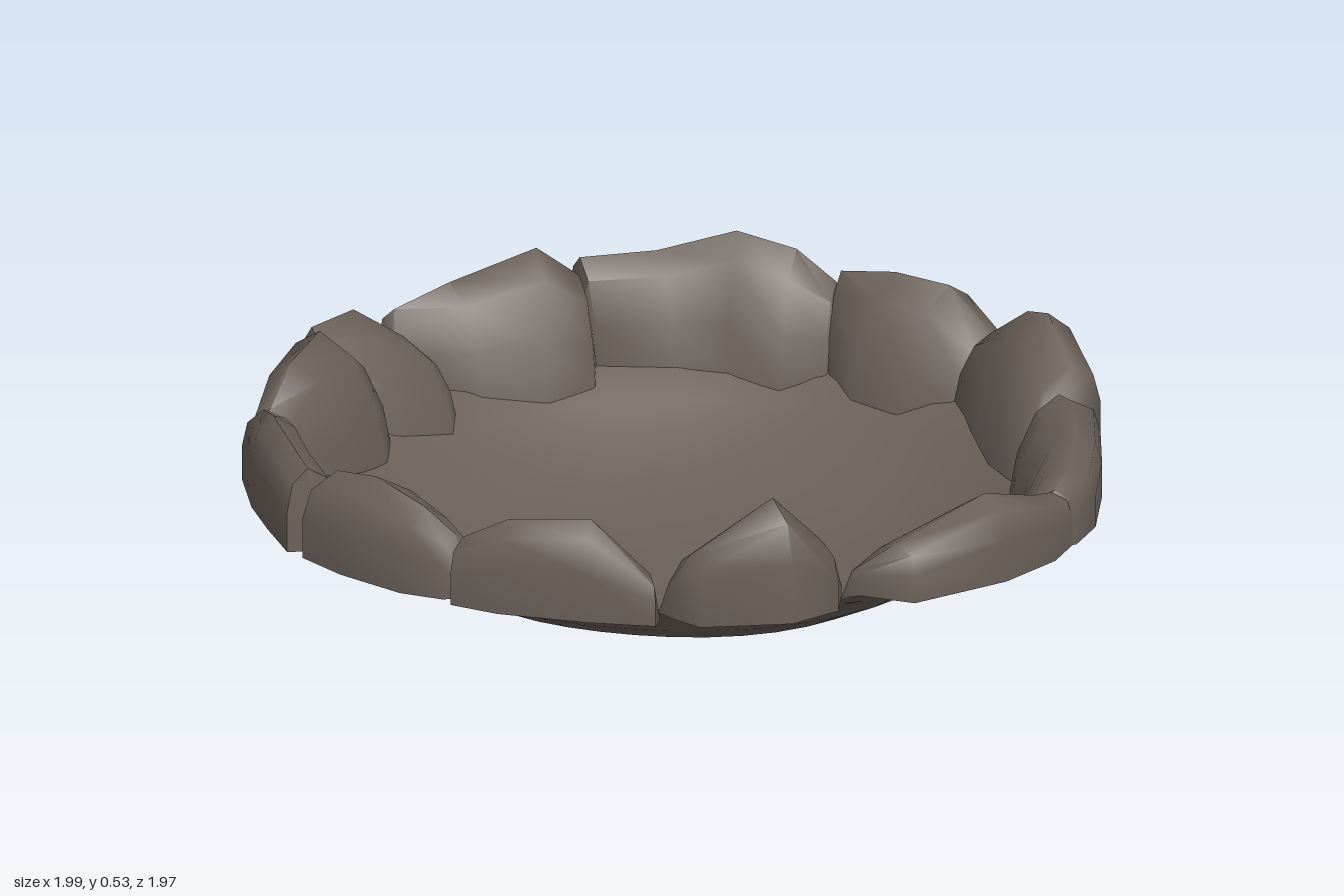
import * as THREE from 'three';
import { toCreasedNormals } from 'three/addons/utils/BufferGeometryUtils.js';

const stoneGrey = new THREE.MeshStandardMaterial({ color: 0x6a6058, side: THREE.DoubleSide });
stoneGrey.name = 'warm stone grey';

// Bowl profile: radius, height; the bowl sits a little forward in the ring
const PROFILE = [[0, 0], [0.1, 0.008], [0.2, 0.014], [0.35, 0.03], [0.52, 0.07], [0.65, 0.13], [0.75, 0.19], [0.82, 0.24], [0.86, 0.252]];
const BOWL_Z = 0.03;
const BASE = 0.25;

function bowlHeight(x, z) {
  const r = Math.hypot(x, z - BOWL_Z);
  for (let i = 1; i < PROFILE.length; i++) {
    const [r0, y0] = PROFILE[i - 1], [r1, y1] = PROFILE[i];
    if (r <= r1) return y0 + (y1 - y0) * (r - r0) / (r1 - r0);
  }
  return BASE;
}

// Stone cross-section, open below: fraction from outer to inner edge, fraction of height
const SECTION = [[0, 0], [0, 0.5], [0.08, 0.84], [0.32, 1], [0.64, 0.82], [0.9, 0.4], [1, 0]];

// Each section is [outer x, outer z, inner x, inner z, top y], running clockwise seen from above
function stone(name, sections) {
  const pos = [], index = [], n = SECTION.length;
  const feet = [];
  for (const [xo, zo, xi, zi, top] of sections) {
    const foot = bowlHeight(xi, zi);
    for (const [t, h] of SECTION) {
      const base = THREE.MathUtils.lerp(BASE, foot, t);
      pos.push(xo + (xi - xo) * t, base + (top - base) * h, zo + (zi - zo) * t);
    }
    feet.push(new THREE.Vector3((xo + xi) / 2, (BASE + foot) / 2, (zo + zi) / 2));
  }
  const last = (sections.length - 1) * n;
  for (let k = 0; k < last; k += n) {
    for (let j = 0; j < n - 1; j++) {
      const a = k + j, b = a + 1;
      index.push(a, b, b + n, a, b + n, a + n);
    }
  }
  // Bulging end faces, which close the joints between stones
  const m = feet.length - 1;
  const bulge = (end, next) => end.clone().add(end.clone().sub(next).setLength(0.03));
  pos.push(...bulge(feet[0], feet[1]).toArray(), ...bulge(feet[m], feet[m - 1]).toArray());
  const first = last + n;
  for (let j = 0; j < n - 1; j++) {
    index.push(first, j + 1, j, first + 1, last + j, last + j + 1);
  }
  const geo = new THREE.BufferGeometry();
  geo.setAttribute('position', new THREE.Float32BufferAttribute(pos, 3));
  geo.setIndex(index);
  const mesh = new THREE.Mesh(toCreasedNormals(geo, 1.1), stoneGrey);
  mesh.name = name;
  return mesh;
}

// Shallow, slightly uneven bowl
function bowl() {
  const geo = new THREE.LatheGeometry(PROFILE.map(([r, y]) => new THREE.Vector2(r, y)), 40);
  const p = geo.attributes.position;
  for (let i = 0; i < p.count; i++) {
    const x = p.getX(i), z = p.getZ(i), r = Math.hypot(x, z);
    const fade = r * Math.max(0, 0.8 - r);
    p.setY(i, p.getY(i) + 0.04 * fade * Math.sin(5 * x + 1) * Math.cos(6 * z));
  }
  geo.computeVertexNormals();
  const mesh = new THREE.Mesh(geo, stoneGrey);
  mesh.name = 'bowl';
  mesh.position.z = BOWL_Z;
  return mesh;
}

export function createModel() {
  const model = new THREE.Group();
  model.name = 'stoneFirePit';
  const ring = new THREE.Group();
  ring.name = 'stoneRing';
  ring.add(
    stone('backStone', [[-0.32, -0.9, -0.24, -0.8, 0.43], [-0.15, -0.97, -0.12, -0.76, 0.46],
      [0.1, -0.985, 0.03, -0.73, 0.51], [0.18, -0.93, 0.15, -0.74, 0.44]]),
    stone('backLeftLongStone', [[0.19, -0.96, 0.18, -0.79, 0.47], [0.36, -0.91, 0.34, -0.72, 0.48],
      [0.55, -0.82, 0.44, -0.65, 0.53], [0.67, -0.73, 0.52, -0.55, 0.5], [0.71, -0.62, 0.62, -0.52, 0.44]]),
    stone('leftBackStone', [[0.73, -0.63, 0.63, -0.53, 0.46], [0.85, -0.52, 0.64, -0.42, 0.48],
      [0.93, -0.38, 0.7, -0.3, 0.48], [0.96, -0.23, 0.8, -0.23, 0.39]]),
    stone('leftPeakStone', [[0.95, -0.23, 0.81, -0.23, 0.4], [0.985, -0.08, 0.78, -0.05, 0.5],
      [0.995, 0.03, 0.76, 0.06, 0.53], [0.99, 0.17, 0.75, 0.2, 0.45], [0.94, 0.23, 0.76, 0.22, 0.4]]),
    stone('leftFrontLowStone', [[0.91, 0.24, 0.73, 0.24, 0.41], [0.92, 0.32, 0.7, 0.32, 0.42],
      [0.84, 0.5, 0.64, 0.48, 0.41], [0.74, 0.68, 0.56, 0.62, 0.4], [0.65, 0.77, 0.51, 0.7, 0.38]]),
    stone('frontLeftStone', [[0.66, 0.75, 0.52, 0.69, 0.37], [0.56, 0.85, 0.45, 0.72, 0.4],
      [0.4, 0.93, 0.31, 0.76, 0.45], [0.15, 0.975, 0.1, 0.79, 0.38], [0.06, 0.88, 0.06, 0.8, 0.31]]),
    stone('frontPeakStone', [[0.02, 0.86, 0, 0.76, 0.3], [-0.03, 0.95, -0.06, 0.74, 0.4],
      [-0.16, 0.985, -0.2, 0.73, 0.53], [-0.36, 0.92, -0.36, 0.76, 0.41], [-0.39, 0.85, -0.38, 0.77, 0.34]]),
    stone('frontRightStone', [[-0.45, 0.87, -0.42, 0.72, 0.36], [-0.58, 0.78, -0.48, 0.64, 0.48],
      [-0.74, 0.64, -0.6, 0.53, 0.46], [-0.81, 0.54, -0.68, 0.47, 0.4]]),
    stone('rightFrontStone', [[-0.81, 0.5, -0.7, 0.48, 0.4], [-0.88, 0.42, -0.69, 0.4, 0.45],
      [-0.95, 0.25, -0.66, 0.22, 0.47], [-0.98, 0.11, -0.68, 0.05, 0.44]]),
    stone('rightStone', [[-0.995, 0.06, -0.82, 0.03, 0.44], [-0.97, -0.1, -0.81, -0.1, 0.46],
      [-0.94, -0.25, -0.76, -0.27, 0.46], [-0.88, -0.43, -0.71, -0.43, 0.41]]),
    stone('backRightStone', [[-0.86, -0.44, -0.7, -0.4, 0.41], [-0.76, -0.58, -0.58, -0.47, 0.47],
      [-0.62, -0.74, -0.46, -0.55, 0.48], [-0.53, -0.77, -0.42, -0.62, 0.41]]),
    stone('backRightSmallStone', [[-0.57, -0.77, -0.55, -0.66, 0.47], [-0.44, -0.88, -0.4, -0.64, 0.47],
      [-0.32, -0.89, -0.24, -0.67, 0.38], [-0.28, -0.86, -0.21, -0.72, 0.34]]),
  );
  model.add(bowl(), ring);
  return model;
}
